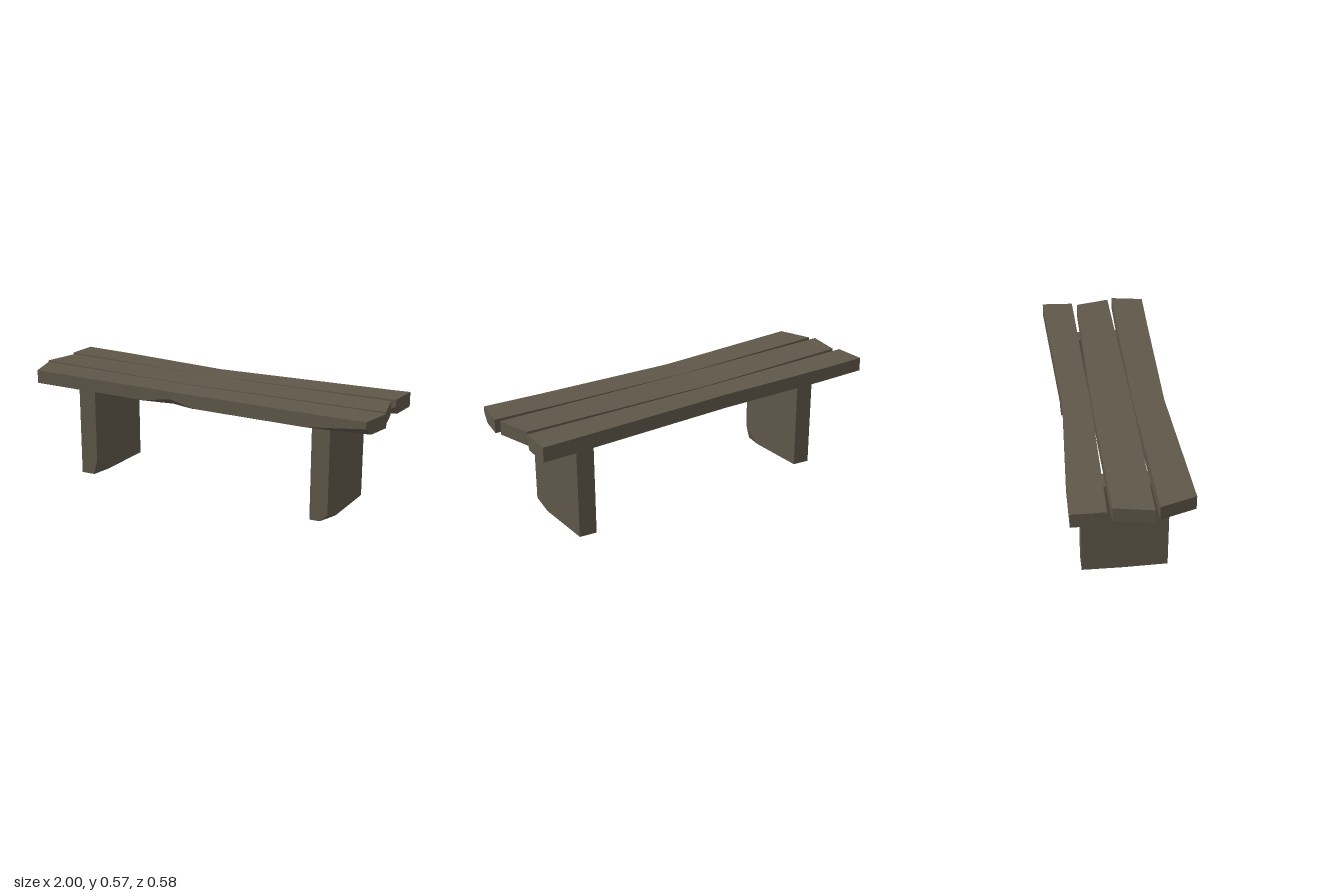
import * as THREE from 'three';
import { ConvexGeometry } from 'three/addons/geometries/ConvexGeometry.js';

const wood = new THREE.MeshStandardMaterial({ color: 0x5f5749, flatShading: true });
wood.name = 'weathered wood';

// Plank lofted along x. Each station is
// [xBack, xFront, zBack, zFront, top, bottom, chipDepth, chipHeight];
// the chip cuts the lower front edge.
function plank(name, stations) {
  const rings = stations.map(([xb, xf, zb, zf, top, bottom, cz = 0.001, cy = 0.001]) => {
    const xc = xf + (xb - xf) * cz / (zf - zb);
    return [
      [xb, top, zb], [xf, top, zf], [xf, bottom + cy, zf],
      [xc, bottom, zf - cz], [xb, bottom, zb],
    ];
  });
  const n = 5, last = (rings.length - 1) * n, index = [];
  for (let i = 0; i < rings.length - 1; i++) {
    for (let j = 0; j < n; j++) {
      const a = i * n + j, b = i * n + (j + 1) % n;
      index.push(a, b, b + n, a, b + n, a + n);
    }
  }
  // End caps
  for (let j = 1; j < n - 1; j++) {
    index.push(last, last + j, last + j + 1, 0, j + 1, j);
  }
  const indexed = new THREE.BufferGeometry();
  indexed.setAttribute('position', new THREE.Float32BufferAttribute(rings.flat(2), 3));
  indexed.setIndex(index);
  const geometry = indexed.toNonIndexed();
  geometry.computeVertexNormals();
  const mesh = new THREE.Mesh(geometry, wood);
  mesh.name = name;
  return mesh;
}

// Slab leg with its lower front inner/outer corner (+x, +z) broken off
function leg(name, x0, x1, chipX, chipY) {
  const zb = -0.22, zf = 0.2, top = 0.498, low = 0.01;
  const points = [
    [x0, top, zb], [x1, top, zb], [x0, top, zf], [x1, top, zf],
    [x0, 0.002, zb], [x1, low, zb], [x0, 0.004, zf], [x0, 0, -0.02],
    [x1 - chipX, 0.006, zf], [x1, chipY, zf], [x1, low, 0.1],
  ].map((p) => new THREE.Vector3(...p));
  const mesh = new THREE.Mesh(new ConvexGeometry(points), wood);
  mesh.name = name;
  return mesh;
}

export function createModel() {
  const bench = new THREE.Group();
  bench.name = 'bench';

  // Seat planks, sagging and narrowing slightly near the middle
  bench.add(
    plank('frontPlank', [
      [-0.98, -0.92, 0.112, 0.285, 0.57, 0.5],
      [-0.27, -0.27, 0.102, 0.265, 0.562, 0.492],
      [-0.1, -0.1, 0.1, 0.26, 0.56, 0.49, 0.03, 0.03],
      [0.02, 0.02, 0.101, 0.263, 0.561, 0.491],
      [0.66, 0.66, 0.107, 0.278, 0.568, 0.498],
      [0.995, 0.965, 0.114, 0.287, 0.573, 0.503, 0.045, 0.037],
    ]),
    plank('middlePlank', [
      [-0.965, -1, -0.1, 0.087, 0.57, 0.5],
      [-0.1, -0.1, -0.108, 0.095, 0.561, 0.492],
      [0.935, 0.98, -0.095, 0.087, 0.572, 0.502],
    ]),
    plank('backPlank', [
      [-0.99, -0.99, -0.29, -0.125, 0.57, 0.498],
      [-0.72, -0.72, -0.286, -0.121, 0.567, 0.495],
      [-0.1, -0.1, -0.255, -0.113, 0.56, 0.488],
      [0.87, 0.87, -0.287, -0.121, 0.572, 0.497],
      [0.96, 0.95, -0.29, -0.123, 0.574, 0.499, 0.018, 0.04],
    ]),
  );

  // Legs
  bench.add(
    leg('rightLeg', -0.71, -0.61, 0.022, 0.09),
    leg('leftLeg', 0.655, 0.75, 0.04, 0.042),
  );
  return bench;
}
